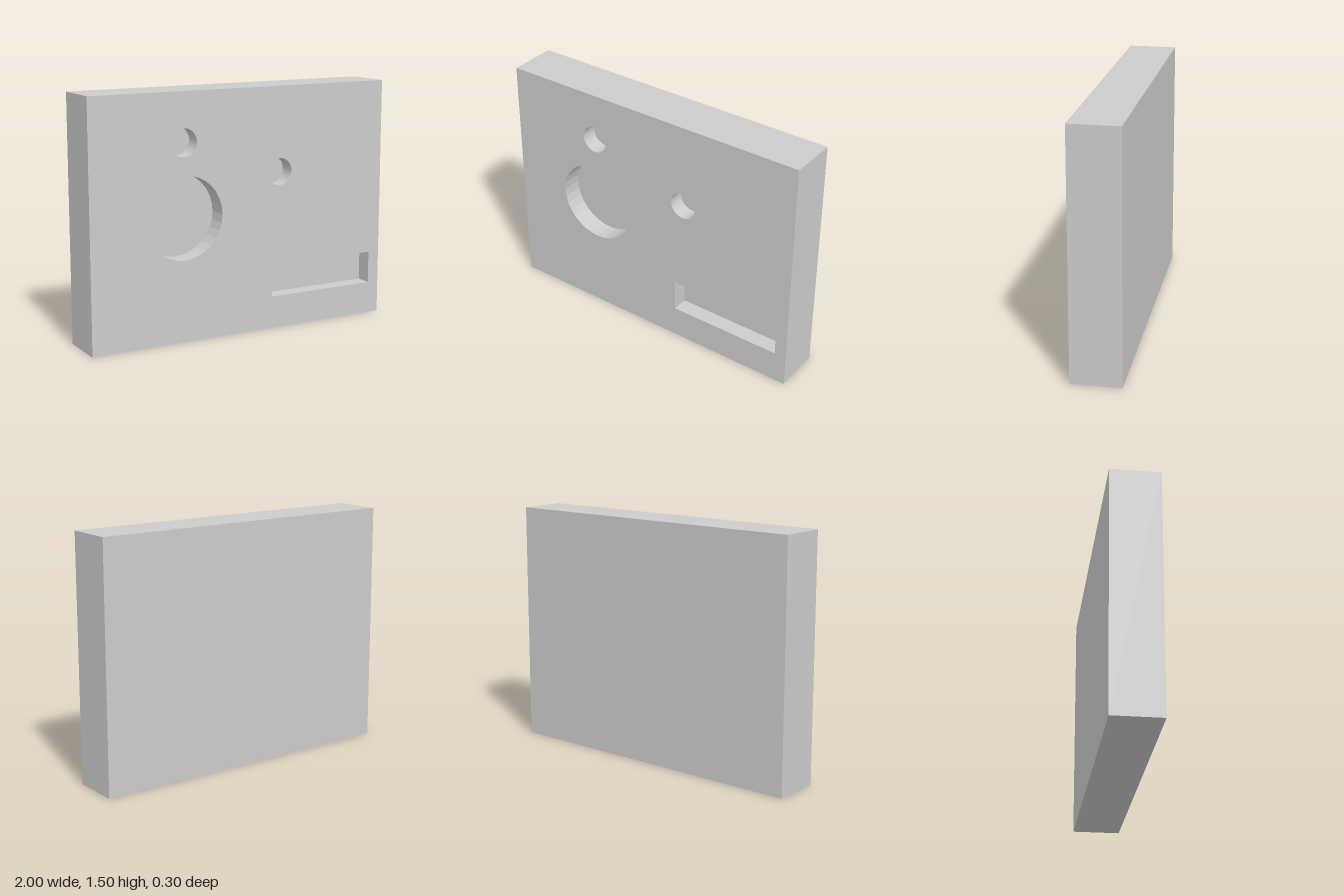
import * as THREE from 'three';

const W = 2, H = 1.5, D = 0.3;
const material = new THREE.MeshStandardMaterial({ color: 0xcccccc, flatShading: true });

// Outlines run counter-clockwise as seen from the front
function circle(cx, cy, r, sides = 32) {
  return Array.from({ length: sides }, (_, i) => {
    const a = (i / sides) * Math.PI * 2;
    return new THREE.Vector2(cx + r * Math.cos(a), cy + r * Math.sin(a));
  });
}

function rectangle(x0, y0, x1, y1) {
  return [[x0, y0], [x1, y0], [x1, y1], [x0, y1]].map(([x, y]) => new THREE.Vector2(x, y));
}

// Inward-facing walls of a pocket sunk from the front face
function pocketWalls(points, depth) {
  const zf = D / 2, zb = D / 2 - depth, pos = [];
  points.forEach((a, i) => {
    const b = points[(i + 1) % points.length];
    pos.push(a.x, a.y, zf, b.x, b.y, zf, b.x, b.y, zb);
    pos.push(a.x, a.y, zf, b.x, b.y, zb, a.x, a.y, zb);
  });
  const geometry = new THREE.BufferGeometry();
  geometry.setAttribute('position', new THREE.Float32BufferAttribute(pos, 3));
  geometry.computeVertexNormals();
  return geometry;
}

export function createModel() {
  const model = new THREE.Group();
  const add = (name, geometry, parent = model) => {
    const mesh = new THREE.Mesh(geometry, material);
    mesh.name = name;
    parent.add(mesh);
    return mesh;
  };

  const pockets = [
    { name: 'largeRoundPocket', points: circle(-0.4, 0.753, 0.253), depth: 0.125 },
    { name: 'upperRoundPocket', points: circle(-0.4, 1.2, 0.084), depth: 0.1 },
    { name: 'sideRoundPocket', points: circle(0.25, 0.978, 0.084), depth: 0.1 },
    { name: 'slotPocket', points: rectangle(0.2, 0.2, 0.925, 0.4), depth: 0.1 },
  ];

  // Plate sides and back: a box without its front (+z) face
  const box = new THREE.BoxGeometry(W, H, D).translate(0, H / 2, 0);
  const index = Array.from(box.index.array);
  index.splice(24, 6);
  box.setIndex(index);
  box.clearGroups();
  add('plateBody', box);

  // Front face pierced by the pocket openings
  const front = new THREE.Shape(rectangle(-W / 2, 0, W / 2, H));
  pockets.forEach((p) => front.holes.push(new THREE.Path(p.points)));
  add('frontFace', new THREE.ShapeGeometry(front).translate(0, 0, D / 2));

  // Blind pockets: walls and floor
  for (const { name, points, depth } of pockets) {
    const pocket = new THREE.Group();
    pocket.name = name;
    model.add(pocket);
    add(name + 'Walls', pocketWalls(points, depth), pocket);
    const floor = new THREE.ShapeGeometry(new THREE.Shape(points));
    add(name + 'Floor', floor.translate(0, 0, D / 2 - depth), pocket);
  }
  return model;
}
